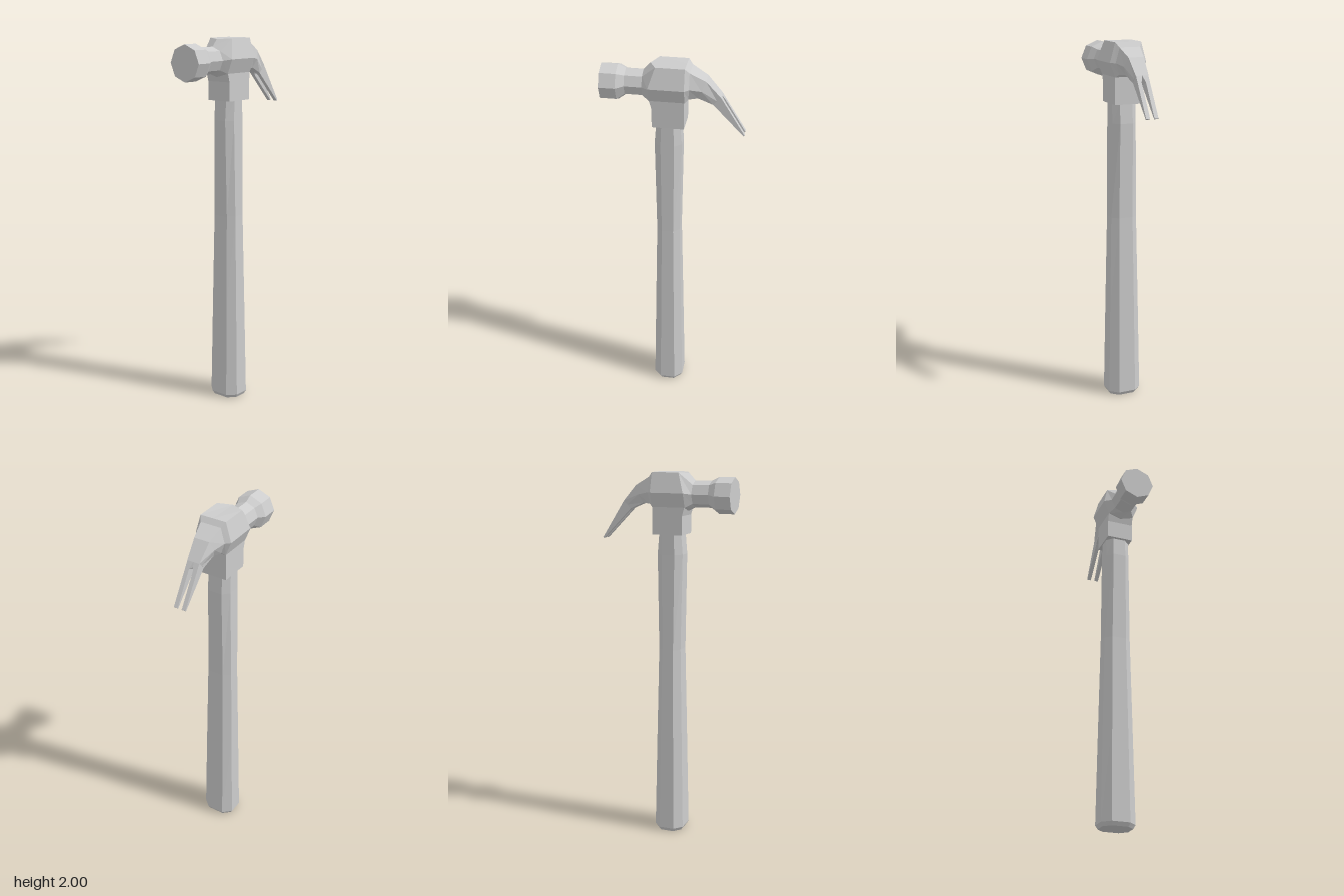
import * as THREE from 'three';

const steel = new THREE.MeshStandardMaterial({ color: 0xcccccc });
steel.name = 'light grey';

// Flat-faced skin through rings that run counter-clockwise about the loft direction, capped at both ends.
function loft(name, rings) {
  const n = rings[0].length;
  const pos = [];
  const tri = (a, b, c) => pos.push(...a, ...b, ...c);
  for (let i = 0; i + 1 < rings.length; i++) {
    for (let j = 0; j < n; j++) {
      const k = (j + 1) % n;
      tri(rings[i][j], rings[i][k], rings[i + 1][k]);
      tri(rings[i][j], rings[i + 1][k], rings[i + 1][j]);
    }
  }
  const first = rings[0], last = rings[rings.length - 1];
  for (let j = 1; j + 1 < n; j++) {
    tri(first[0], first[j + 1], first[j]);
    tri(last[0], last[j], last[j + 1]);
  }
  const geo = new THREE.BufferGeometry();
  geo.setAttribute('position', new THREE.Float32BufferAttribute(pos, 3));
  geo.computeVertexNormals();
  const mesh = new THREE.Mesh(geo, steel);
  mesh.name = name;
  return mesh;
}

// Eight-point head section, mirrored in z; points are [x, y, z].
const section = (top, upper, side, lower, bottom) => {
  const flip = ([x, y, z]) => [x, y, -z];
  return [top, upper, side, lower, bottom, flip(lower), flip(side), flip(upper)];
};

// Regular octagon across x with a corner at the top
const octagon = (x, cy, r) => {
  const d = r * Math.SQRT1_2;
  return section([x, cy + r, 0], [x, cy + d, d], [x, cy, r], [x, cy - d, d], [x, cy - r, 0]);
};

// Flat-topped hexagonal section: upper, side and lower points give the outline
const hex = (u, s, l) => section([u[0], u[1], 0], u, s, l, [l[0], l[1], 0]);

// Chamfered handle section at height y, with outer half-sizes in x and z
const handleRing = (y, hx, hz) => {
  const cx = -0.026, fx = hx * 0.5, fz = hz * 0.53;
  return [
    [fx, hz], [hx, fz], [hx, -fz], [fx, -hz],
    [-fx, -hz], [-hx, -fz], [-hx, fz], [-fx, hz],
  ].map(([x, z]) => [cx + x, y, z]);
};

export function createModel() {
  const group = new THREE.Group();
  group.name = 'clawHammer';

  // Handle, flared at the butt with a small bevel underneath
  group.add(loft('handle', [
    handleRing(0, 0.07, 0.083),
    handleRing(0.02, 0.082, 0.094),
    handleRing(0.55, 0.072, 0.084),
    handleRing(1.05, 0.062, 0.074),
    handleRing(1.57, 0.071, 0.068),
    handleRing(1.68, 0.062, 0.067),
  ]));

  // Socket block joining handle and head
  const block = (y, x0) => [[0.06, y, 0.073], [0.06, y, -0.073], [x0, y, -0.073], [x0, y, 0.073]];
  group.add(loft('socket', [block(1.675, -0.105), block(1.775, -0.105), block(1.825, -0.119)]));

  // Striking face, neck, body and claw root in one skin
  group.add(loft('head', [
    octagon(-0.37, 1.883, 0.095),
    octagon(-0.285, 1.883, 0.095),
    octagon(-0.245, 1.888, 0.07),
    octagon(-0.155, 1.888, 0.07),
    section([-0.12, 1.995, 0], [-0.085, 2, 0.073], [-0.12, 1.895, 0.103], [-0.12, 1.82, 0.073], [-0.12, 1.8, 0]),
    hex([0.063, 2, 0.073], [0.063, 1.895, 0.103], [0.063, 1.82, 0.073]),
    hex([0.085, 1.975, 0.058], [0.085, 1.895, 0.08], [0.08, 1.835, 0.058]),
    hex([0.165, 1.93, 0.043], [0.145, 1.882, 0.06], [0.125, 1.838, 0.043]),
    hex([0.24, 1.845, 0.035], [0.22, 1.825, 0.035], [0.2, 1.805, 0.035]),
  ]));

  // Two prongs with a pointed slot between them
  const prong = (top, low, z0, z1) => [[...top, z0], [...top, z1], [...low, z1], [...low, z0]];
  for (const side of [1, -1]) {
    const rings = [
      [[0.24, 1.845], [0.2, 1.805], 0],
      [[0.26, 1.813], [0.215, 1.79], 0.012],
      [[0.365, 1.645], [0.36, 1.64], 0.012],
    ].map(([top, low, inner]) => {
      const z = [side * inner, side * 0.034].sort((a, b) => a - b);
      return prong(top, low, z[0], z[1]);
    });
    group.add(loft(side > 0 ? 'frontProng' : 'backProng', rings));
  }

  return group;
}
